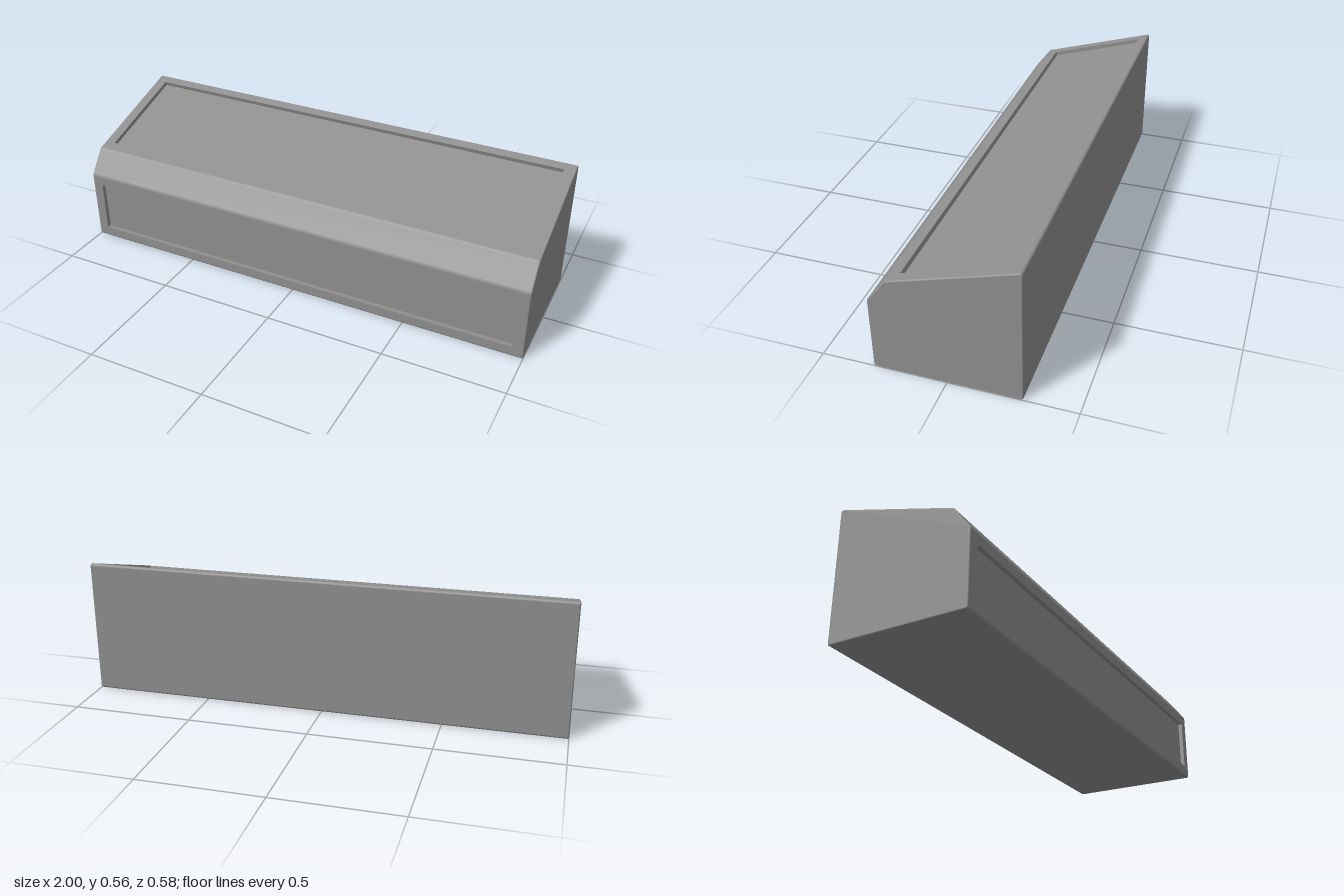
import * as THREE from 'three';

const material = new THREE.MeshStandardMaterial({ color: 0x8f8f8f });
const BEVEL = 0.006, DEPTH = 0.018, ARC = 6, RECESS_X = 0.953, MARGIN = 0.046;

// Side profile corners as [z, y, rounding radius], counter-clockwise
const corners = [
  [-0.291, 0, 0.01], [0.291, 0, 0.01], [0.291, 0.311, 0.025],
  [0.216, 0.412, 0.025], [-0.291, 0.567, 0.01],
];
// Recessed faces and the profile edge each one lies on
const recesses = [
  { name: 'frontPanel', edge: 1 },
  { name: 'slopedTopPanel', edge: 3 },
];

const point = (i) => new THREE.Vector2(corners[i % 5][0], corners[i % 5][1]);
const edgeDir = (i) => point(i + 1).sub(point(i)).normalize();
const edgeNormal = (i) => { const d = edgeDir(i); return new THREE.Vector2(d.y, -d.x); };

// Rounded profile: arc centre, outward direction and radius for every point
function roundedProfile() {
  const out = [];
  corners.forEach(([, , r], i) => {
    const n0 = edgeNormal((i + 4) % 5), n1 = edgeNormal(i);
    const centre = point(i).addScaledVector(n0.clone().add(n1), -r / (1 + n0.dot(n1)));
    const a0 = n0.angle();
    const sweep = (n1.angle() - a0 + 2 * Math.PI) % (2 * Math.PI);
    for (let k = 0; k <= ARC; k++) {
      const a = a0 + (sweep * k) / ARC;
      out.push({ centre, r, dir: new THREE.Vector2(Math.cos(a), Math.sin(a)) });
    }
  });
  return out;
}

// Housing skin: the profile lofted along x with rounded ends
function shellGeometry(profile) {
  const pos = [], nor = [], idx = [], n = profile.length, stations = [];
  for (const side of [-1, 1]) {
    for (let k = 0; k <= ARC; k++) {
      const t = (k / ARC) * Math.PI / 2;
      stations.push({ side, t: side < 0 ? Math.PI / 2 - t : t });
    }
  }
  stations.forEach(({ side, t }) => {
    for (const { centre, r, dir } of profile) {
      const p = centre.clone().addScaledVector(dir, r - BEVEL + BEVEL * Math.cos(t));
      pos.push(side * (1 - BEVEL + BEVEL * Math.sin(t)), p.y, p.x);
      nor.push(side * Math.sin(t), dir.y * Math.cos(t), dir.x * Math.cos(t));
    }
  });
  for (let i = 0; i < stations.length - 1; i++) {
    for (let j = 0; j < n; j++) {
      // leave the two recessed faces open
      const open = i === ARC && recesses.some((f) => j === f.edge * (ARC + 1) + ARC);
      if (open) continue;
      const a = i * n + j, d = i * n + ((j + 1) % n);
      idx.push(a, a + n, d + n, a, d + n, d);
    }
  }
  const g = new THREE.BufferGeometry();
  g.setAttribute('position', new THREE.Float32BufferAttribute(pos, 3));
  g.setAttribute('normal', new THREE.Float32BufferAttribute(nor, 3));
  g.setIndex(idx);
  return g;
}

// Flat end face on one side
function endGeometry(profile, side) {
  const pts = profile.map(({ centre, r, dir }) => {
    const p = centre.clone().addScaledVector(dir, r - BEVEL);
    return new THREE.Vector2(-side * p.x, p.y);
  });
  return new THREE.ShapeGeometry(new THREE.Shape(pts))
    .rotateY(side * Math.PI / 2).translate(side, 0, 0);
}

function rectangle(PathType, hw, y0, y1) {
  return new PathType([[-hw, y0], [hw, y0], [hw, y1], [-hw, y1]]
    .map(([x, y]) => new THREE.Vector2(x, y)));
}

function addMesh(parent, name, geometry) {
  const mesh = new THREE.Mesh(geometry, material);
  mesh.name = name;
  parent.add(mesh);
}

// Raised border flush with the skin, around a sunken panel
function recessedFace(profile, { name, edge }) {
  const group = new THREE.Group();
  group.name = name;
  const corner = point(edge), dir = edgeDir(edge), normal = edgeNormal(edge);
  const along = ({ centre, r, dir: d }) =>
    centre.clone().addScaledVector(d, r).sub(corner).dot(dir);
  const start = along(profile[edge * (ARC + 1) + ARC]);
  const end = along(profile[(edge + 1) * (ARC + 1)]);
  const y0 = MARGIN, y1 = point(edge + 1).distanceTo(corner) - MARGIN;

  const border = rectangle(THREE.Shape, 1 - BEVEL, start, end);
  border.holes.push(rectangle(THREE.Path, RECESS_X, y0, y1));
  const frame = new THREE.ExtrudeGeometry(border, { depth: DEPTH, bevelEnabled: false });
  addMesh(group, name + 'Border', frame.translate(0, 0, -DEPTH));

  const floor = new THREE.PlaneGeometry(2 * RECESS_X, y1 - y0);
  addMesh(group, name + 'Floor', floor.translate(0, (y0 + y1) / 2, -DEPTH));

  group.position.set(0, corner.y, corner.x);
  group.rotation.x = -Math.atan2(normal.y, normal.x);
  return group;
}

export function createModel() {
  const model = new THREE.Group();
  model.name = 'slopedHousing';
  const profile = roundedProfile();
  addMesh(model, 'housingShell', shellGeometry(profile));
  addMesh(model, 'leftEnd', endGeometry(profile, 1));
  addMesh(model, 'rightEnd', endGeometry(profile, -1));
  recesses.forEach((f) => model.add(recessedFace(profile, f)));
  return model;
}
